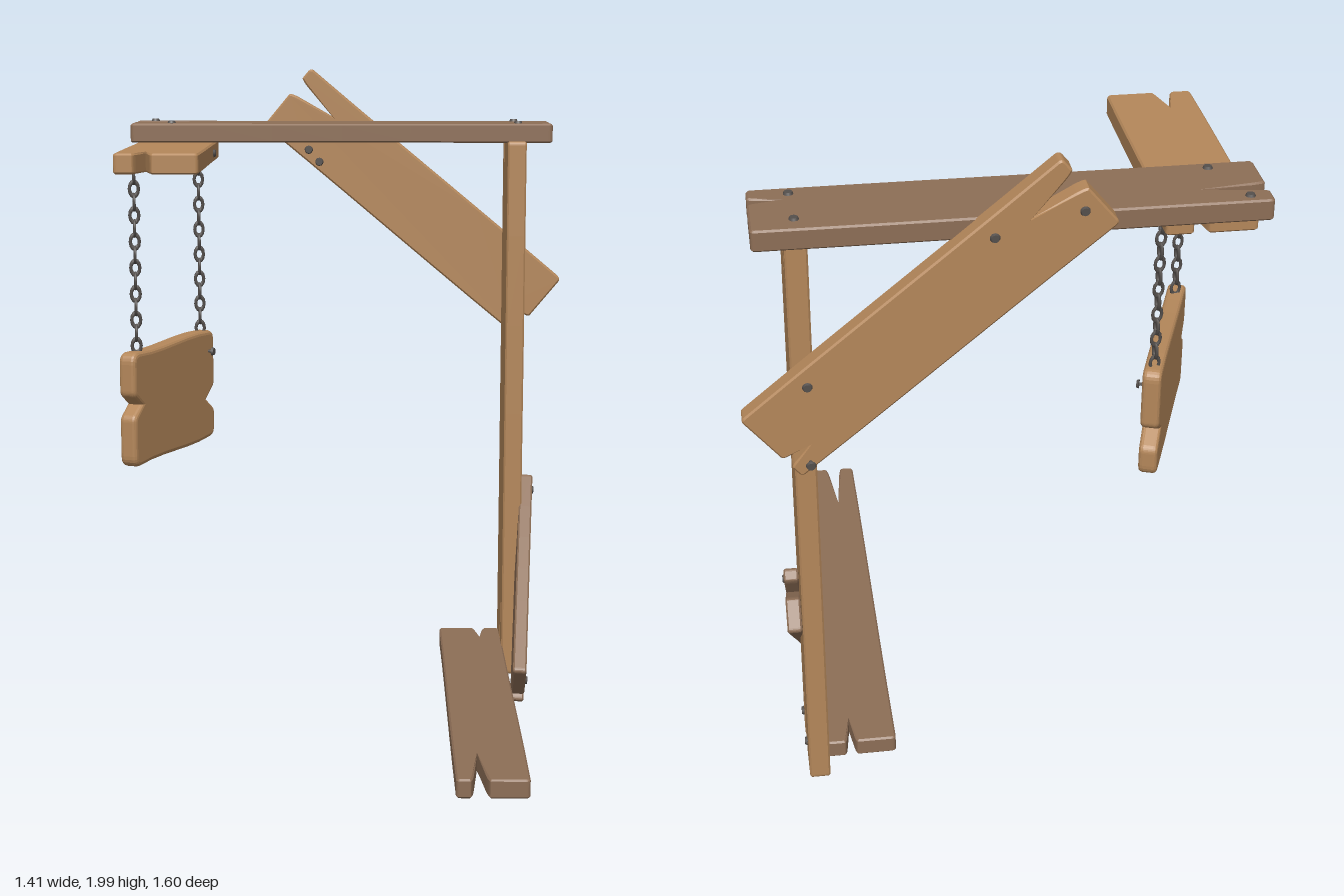
import * as THREE from 'three';

const lightWood = new THREE.MeshStandardMaterial({ name: 'lightWood', color: 0xb4875a });
const darkWood = new THREE.MeshStandardMaterial({ name: 'darkWood', color: 0x8d6e56 });
const iron = new THREE.MeshStandardMaterial({ name: 'iron', color: 0x544f4c });
const V = (x, y, z) => new THREE.Vector3(x, y, z);

// Plank outline: rounded corners, wavy long edges and a split in each end.
// A split is [offset across the plank, mouth width, depth].
function plankShape(L, W, splitA, splitB, r, wave) {
  const l = L / 2, w = W / 2, s = new THREE.Shape();
  const half = (side, [v, mouth, depth]) => {
    // side 1 is the far end, side -1 the near end, each walked counter-clockwise
    const X = side * l, d = side * depth, a = v - side * mouth / 2, b = v + side * mouth / 2;
    s.bezierCurveTo(side * -l / 3, -side * w + wave, side * l / 3, -side * w - wave, side * (l - r), -side * w);
    s.quadraticCurveTo(X, -side * w, X, -side * (w - r));
    s.lineTo(X, a - side * r * 0.4);
    s.quadraticCurveTo(X, a, X - d * 0.2, a + side * mouth * 0.12);
    s.lineTo(X - d, v);
    s.lineTo(X - d * 0.2, b - side * mouth * 0.12);
    s.quadraticCurveTo(X, b, X, b + side * r * 0.4);
    s.lineTo(X, side * (w - r));
    s.quadraticCurveTo(X, side * w, side * (l - r), side * w);
  };
  s.moveTo(-l + r, -w);
  half(1, splitB);
  half(-1, splitA);
  return s;
}

// u runs along the plank, v across it; thickness follows u x v
function plank(name, mat, o) {
  const { size: [L, W, T], at, u, v, a, b, r = 0.014, bevel = 0.005, wave = 0.003, steps = 1 } = o;
  const geo = new THREE.ExtrudeGeometry(plankShape(L, W, a, b, r, wave), {
    depth: T - 2 * bevel, curveSegments: 6, bevelEnabled: true,
    bevelSize: bevel, bevelOffset: -bevel, bevelThickness: bevel, bevelSegments: steps,
  });
  geo.translate(0, 0, -T / 2 + bevel);
  const m = new THREE.Mesh(geo, mat);
  m.name = name;
  u.normalize();
  v.normalize();
  m.applyMatrix4(new THREE.Matrix4().makeBasis(u, v, u.clone().cross(v)).setPosition(at));
  return m;
}

// Nail with a round head standing off the wood by `out`
function nail(at, dir, out = 0.008) {
  const g = new THREE.Group();
  g.name = 'nail';
  const head = new THREE.Mesh(new THREE.CylinderGeometry(0.011, 0.014, 0.007, 10), iron);
  head.position.y = out - 0.0035;
  const shank = new THREE.Mesh(new THREE.CylinderGeometry(0.005, 0.005, out + 0.02, 6), iron);
  shank.position.y = (out - 0.02) / 2 - 0.002;
  g.add(head, shank);
  g.position.copy(at);
  g.quaternion.setFromUnitVectors(V(0, 1, 0), dir.normalize());
  return g;
}

// Chain of oval links, each turned a quarter from the last
function chain(x, z, bottom, top, count) {
  const g = new THREE.Group();
  g.name = 'chain';
  const geo = new THREE.TorusGeometry(0.0135, 0.005, 6, 12).scale(1, 1.55, 1);
  const pitch = (top - bottom) / count;
  for (let i = 0; i < count; i++) {
    const link = new THREE.Mesh(geo, iron);
    link.name = 'chainLink';
    link.position.set(x, bottom + (i + 0.5) * pitch, z);
    link.rotation.y = (i % 2) * Math.PI / 2 + 0.15;
    g.add(link);
  }
  return g;
}

export function createModel() {
  const model = new THREE.Group();
  model.name = 'hangingSignPost';

  // Frame
  model.add(
    plank('post', lightWood, {
      size: [1.77, 0.245, 0.06], at: V(0.54, 0.885, -0.5825), u: V(0, 1, 0), v: V(0, 0, 1),
      a: [0.042, 0.055, 0.24], b: [-0.047, 0.035, 0.13],
    }),
    plank('topBeam', darkWood, {
      size: [1.355, 0.245, 0.06], at: V(-0.023, 1.795, -0.603), u: V(1, 0, 0), v: V(0, 0, 1),
      a: [-0.037, 0.045, 0.18], b: [0.053, 0.03, 0.09],
    }),
    plank('hangingArm', lightWood, {
      size: [0.81, 0.25, 0.06], at: V(-0.555, 1.735, -0.255), u: V(0, 0, 1), v: V(1, 0, 0),
      a: [0.03, 0.04, 0.1], b: [-0.04, 0.05, 0.11],
    }),
    plank('baseBoard', darkWood, {
      size: [1.47, 0.205, 0.055], at: V(0.4125, 0.0725, 0.065), u: V(0, 0, 1), v: V(1, 0, 0),
      a: [0.03, 0.03, 0.1], b: [-0.035, 0.045, 0.21],
    }),
    plank('upperBrace', lightWood, {
      size: [1.09, 0.243, 0.058], at: V(0.213, 1.555, -0.745), u: V(0.768, -0.64, 0), v: V(0.64, 0.768, 0),
      a: [0.045, 0.06, 0.16], b: [-0.062, 0.035, 0.08],
    }),
  );
  const u = V(0.055, 0.5, -0.585);
  model.add(plank('lowerBrace', darkWood, {
    size: [0.775, 0.185, 0.042], at: V(0.5645, 0.345, -0.3275), u, v: V(1, 0, 0).cross(u),
    a: [-0.057, 0.03, 0.05], b: [0.03, 0.05, 0.085],
  }));

  // Sign board on its chains
  model.add(
    plank('signBoard', lightWood, {
      size: [0.57, 0.35, 0.055], at: V(-0.56, 0.991, -0.19), u: V(0.347, 0, -0.938), v: V(0, 1, 0),
      a: [0.012, 0.07, 0.05], b: [-0.045, 0.08, 0.06], r: 0.035, bevel: 0.013, wave: 0.014, steps: 3,
    }),
    chain(-0.635, 0.01, 1.16, 1.712, 14),
    chain(-0.478, -0.415, 1.155, 1.712, 14),
  );

  // Nails: position, direction, stand-off
  const up = [0, 1, 0], down = [0, -1, 0], side = [1, 0, 0], front = [0, 0, 1], back = [0, 0, -1];
  const lean = [0.995, -0.07, 0.08];
  [
    [-0.64, 1.825, -0.695, up], [-0.57, 1.825, -0.515, up],
    [0.54, 1.825, -0.67, up], [0.545, 1.825, -0.52, up],
    [-0.135, 1.73, -0.716, front], [-0.1, 1.69, -0.716, front],
    [-0.19, 1.85, -0.774, back], [0.04, 1.79, -0.774, back],
    [0.53, 1.39, -0.774, back], [0.53, 1.16, -0.774, back, 0.027],
    [0.57, 0.083, -0.49, side], [0.57, 0.083, -0.63, side],
    [0.607, 0.615, -0.54, lean], [0.564, 0.09, -0.12, lean],
    [-0.451, 1.1, -0.406, [0.938, 0, 0.347], 0.02],
    [-0.43, 1.735, -0.42, side], [-0.52, 1.705, -0.5, down, 0.018],
    [-0.62, 1.705, -0.6, down], [-0.49, 1.705, -0.6, down],
  ].forEach(([x, y, z, dir, out]) => model.add(nail(V(x, y, z), V(...dir), out)));

  return model;
}
